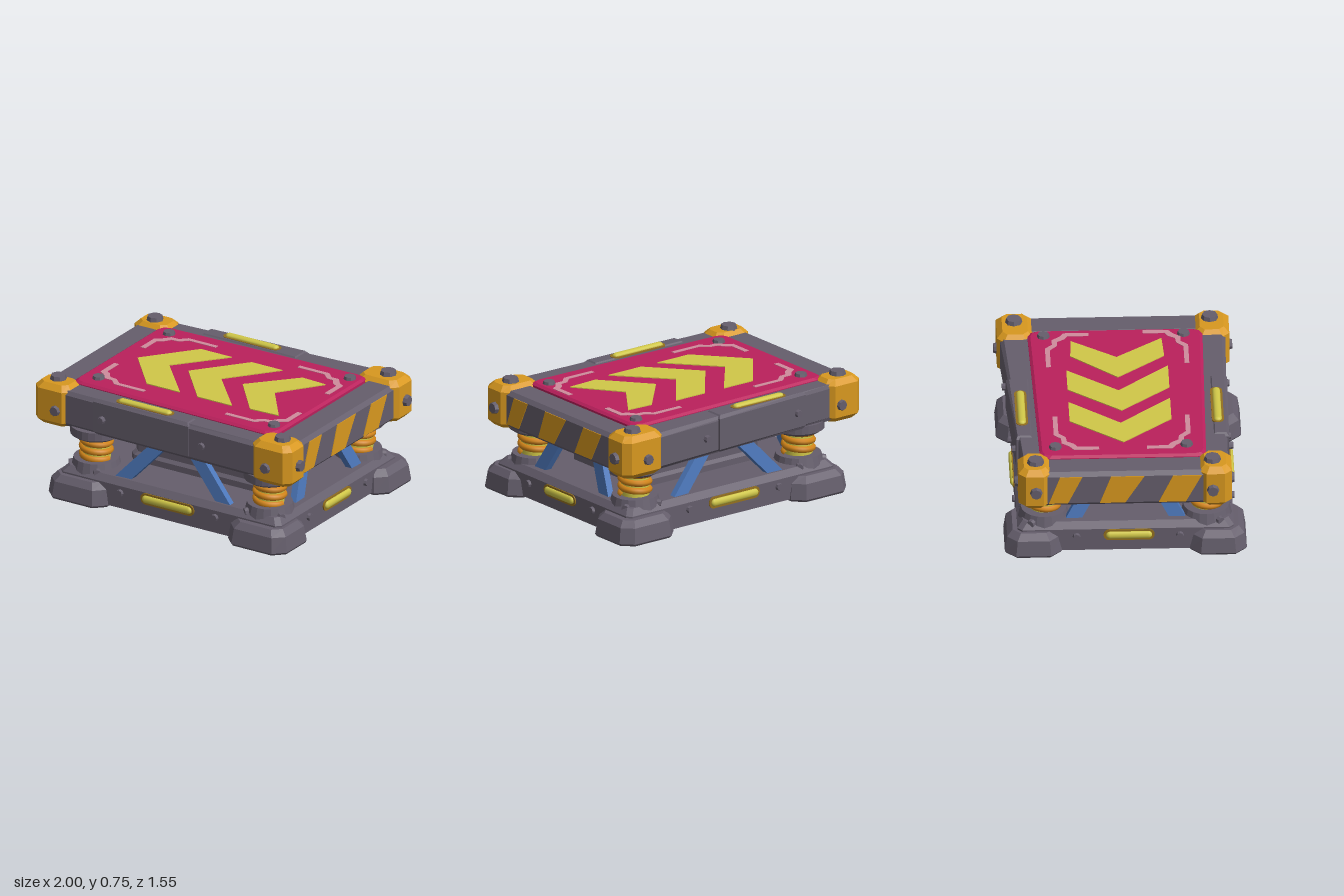
import * as THREE from 'three';

const colour = (name, hex) => {
  const m = new THREE.MeshStandardMaterial({ color: hex });
  m.name = name;
  return m;
};

export function createModel() {
  const grey = colour('gunmetal grey', 0x655e6c);
  const amber = colour('amber paint', 0xd8981f);
  const red = colour('crimson panel', 0xba205c);
  const yellow = colour('lamp yellow', 0xd0c748);
  const blue = colour('brace blue', 0x4c77ba);
  const pink = colour('worn pink', 0xcf8c9c);
  const orange = colour('spring orange', 0xd2851a);
  const bronze = colour('lamp rim bronze', 0x94701f);

  const model = new THREE.Group();
  model.name = 'springPlatform';

  const add = (name, geo, mat, parent = model) => {
    const mesh = new THREE.Mesh(geo, mat);
    mesh.name = name;
    parent.add(mesh);
    return mesh;
  };
  const faceted = (geo) => {
    const g = geo.index ? geo.toNonIndexed() : geo;
    g.computeVertexNormals();
    return g;
  };

  // Rectangle in x/z with cut corners, counter-clockwise seen from above
  const cutRect = (x0, x1, z0, z1, c) => [
    [x1 - c, z1], [x1, z1 - c], [x1, z0 + c], [x1 - c, z0],
    [x0 + c, z0], [x0, z0 + c], [x0, z1 - c], [x0 + c, z1]];

  // Solid with a convex x/z outline, stacked as [height, inset] levels
  function loft(outline, levels) {
    const xs = outline.map(p => p[0]), zs = outline.map(p => p[1]);
    const x0 = Math.min(...xs), x1 = Math.max(...xs), z0 = Math.min(...zs), z1 = Math.max(...zs);
    const cx = (x0 + x1) / 2, cz = (z0 + z1) / 2, n = outline.length;
    const pos = [], idx = [];
    for (const [y, inset] of levels) {
      const sx = 1 - 2 * inset / (x1 - x0), sz = 1 - 2 * inset / (z1 - z0);
      for (const [x, z] of outline) pos.push(cx + (x - cx) * sx, y, cz + (z - cz) * sz);
    }
    for (let l = 0; l < levels.length - 1; l++) {
      for (let i = 0; i < n; i++) {
        const a = l * n + i, b = l * n + (i + 1) % n;
        idx.push(a, b, b + n, a, b + n, a + n);
      }
    }
    const top = (levels.length - 1) * n;
    for (let i = 1; i < n - 1; i++) idx.push(top, top + i, top + i + 1, 0, i + 1, i);
    const g = new THREE.BufferGeometry();
    g.setAttribute('position', new THREE.Float32BufferAttribute(pos, 3));
    g.setIndex(idx);
    return faceted(g);
  }
  const bevelled = (y0, y1, b) => [[y0, b], [y0 + b, 0], [y1 - b, 0], [y1, b]];

  // Thin flat plate lying on a surface, outline in x/z
  const decal = (pts, y, t = 0.007) => {
    const s = new THREE.Shape(pts.map(([x, z]) => new THREE.Vector2(x, -z)));
    return new THREE.ExtrudeGeometry(s, { depth: t, bevelEnabled: false }).rotateX(-Math.PI / 2).translate(0, y, 0);
  };

  // Bolt head standing on a surface, pointing along dir
  const up = new THREE.Vector3(0, 1, 0);
  function bolt(name, p, dir, r, h) {
    const g = faceted(new THREE.CylinderGeometry(r * 0.85, r, h, 8).translate(0, h / 2, 0));
    const m = add(name, g, grey);
    m.position.set(...p);
    m.quaternion.setFromUnitVectors(up, new THREE.Vector3(...dir).normalize());
  }

  // Glowing slot: rounded rim and lamp rod, long side along local x, facing +z
  function lamp(name, p, length, rotX, rotY) {
    const g = new THREE.Group();
    g.name = name;
    const r = 0.038, h = length / 2 - r;
    const s = new THREE.Shape();
    s.absarc(h, 0, r, -Math.PI / 2, Math.PI / 2);
    s.absarc(-h, 0, r, Math.PI / 2, Math.PI * 1.5);
    add('lampRim', new THREE.ExtrudeGeometry(s, { depth: 0.008, bevelEnabled: false, curveSegments: 8 }), bronze, g);
    add('lampRod', new THREE.CapsuleGeometry(0.025, length - 0.08, 4, 12).rotateZ(Math.PI / 2).scale(1, 1, 0.7), yellow, g)
      .position.z = 0.008;
    g.position.set(...p);
    g.rotation.set(rotX, rotY, 0);
    model.add(g);
  }

  // Base and inner core
  add('base', loft(cutRect(-0.76, 0.89, -0.68, 0.68, 0.03), [[0.02, 0], [0.17, 0], [0.21, 0.035]]), grey);
  add('core', loft(cutRect(-0.42, 0.52, -0.35, 0.35, 0.04), [[0.18, 0], [0.47, 0]]), grey);
  add('coreRim', loft(cutRect(-0.44, 0.54, -0.37, 0.37, 0.04), bevelled(0.39, 0.48, 0.015)), grey);
  add('coreFoot', loft(cutRect(-0.44, 0.54, -0.37, 0.37, 0.04), [[0.19, 0], [0.25, 0], [0.27, 0.02]]), grey);

  // Feet with spring units
  const feet = [[-0.83, -0.39, -0.76, -0.4, -0.59], [-0.83, -0.39, 0.4, 0.76, -0.59],
    [0.55, 0.98, -0.77, -0.38, 0.71], [0.52, 0.96, 0.4, 0.77, 0.71]];
  for (const [x0, x1, z0, z1, sx] of feet) {
    const sz = 0.51 * Math.sign(z0), ox = Math.sign(sx), oz = Math.sign(z0);
    add('foot', loft(cutRect(x0, x1, z0, z1, 0.07), [[0.005, 0.01], [0.02, 0], [0.12, 0.015], [0.16, 0.05]]), grey);
    const unit = new THREE.Group();
    unit.name = 'springUnit';
    unit.position.set(sx, 0, sz);
    model.add(unit);
    add('springSeat', faceted(new THREE.CylinderGeometry(0.145, 0.17, 0.1, 20).translate(0, 0.2, 0)), grey, unit);
    add('springCore', new THREE.CylinderGeometry(0.092, 0.092, 0.2, 24).translate(0, 0.33, 0), yellow, unit);
    const helix = [];
    for (let i = 0; i <= 48; i++) {
      const a = i / 48 * Math.PI * 6;
      helix.push(new THREE.Vector3(Math.cos(a) * 0.089, 0.25 + i / 48 * 0.155, Math.sin(a) * 0.089));
    }
    add('springCoil', new THREE.TubeGeometry(new THREE.CatmullRomCurve3(helix), 110, 0.022, 8), orange, unit);
    const cup = [[0, 0.395], [0.135, 0.395], [0.165, 0.415], [0.165, 0.47], [0, 0.47]];
    add('springCup', faceted(new THREE.LatheGeometry(cup.map(p => new THREE.Vector2(...p)), 24)), grey, unit);
    for (const [dx, dz] of [[ox, oz * 0.6], [-ox * 0.7, oz]]) {
      const l = Math.hypot(dx, dz);
      bolt('seatBolt', [sx + dx / l * 0.15, 0.2, sz + dz / l * 0.15], [dx, 0, dz], 0.028, 0.025);
    }
  }

  // Diagonal braces on all four sides
  function brace(a, b, w, d) {
    const va = new THREE.Vector3(...a), vb = new THREE.Vector3(...b);
    const m = add('brace', new THREE.BoxGeometry(w, va.distanceTo(vb), d), blue);
    m.position.copy(va).add(vb).multiplyScalar(0.5);
    m.quaternion.setFromUnitVectors(up, vb.sub(va).normalize());
  }
  for (const s of [1, -1]) {
    brace([-0.345, 0.17, s * 0.615], [-0.04, 0.5, s * 0.56], 0.085, 0.045);
    brace([0.47, 0.17, s * 0.615], [0.165, 0.5, s * 0.56], 0.085, 0.045);
    for (const x of [[0.8, 0.74], [-0.67, -0.61]]) {
      brace([x[0], 0.17, s * 0.345], [x[1], 0.5, s * 0.16], 0.045, 0.09);
    }
  }

  // Base lamps and bolts
  for (const s of [1, -1]) {
    const turn = s > 0 ? 0 : Math.PI;
    lamp('baseLamp', [0.055, 0.13, s * 0.68], 0.4, 0, turn);
    for (const x of [-0.3, 0.41]) bolt('baseBolt', [x, 0.125, s * 0.68], [0, 0, s], 0.025, 0.018);
    const sideX = s > 0 ? 0.89 : -0.76;
    lamp('baseSideLamp', [sideX, 0.13, 0.02], 0.32, 0, s * Math.PI / 2);
    for (const z of [0.34, -0.31]) bolt('baseBolt', [sideX, 0.12, z], [s, 0, 0], 0.025, 0.018);
  }

  // Upper frame: slightly skewed beams around a slab
  add('deckSlab', loft(cutRect(-0.8, 0.8, -0.52, 0.5, 0.02), [[0.47, 0], [0.68, 0]]), grey);
  const beam = bevelled(0.46, 0.7, 0.025);
  add('frontBeam', loft([[0.75, 0.675], [0.75, 0.45], [-0.78, 0.45], [-0.78, 0.64]], beam), grey);
  add('backBeam', loft([[0.75, -0.46], [0.75, -0.745], [-0.78, -0.65], [-0.78, -0.46]], beam), grey);
  add('leftBeam', loft(cutRect(0.74, 0.945, -0.62, 0.57, 0.01), beam), grey);
  add('rightBeam', loft(cutRect(-0.955, -0.75, -0.58, 0.55, 0.01), beam), grey);
  add('frontBeamPlate', loft([[0.2, 0.667], [0.2, 0.55], [-0.52, 0.55], [-0.52, 0.657]], bevelled(0.465, 0.708, 0.02)), grey);
  add('backBeamPlate', loft([[0.2, -0.57], [0.2, -0.722], [-0.52, -0.68], [-0.52, -0.57]], bevelled(0.465, 0.708, 0.02)), grey);
  lamp('frontTopLamp', [-0.17, 0.703, 0.592], 0.42, -Math.PI / 2, 0);
  lamp('backTopLamp', [-0.17, 0.703, -0.638], 0.42, -Math.PI / 2, 0);
  for (const x of [-0.45, 0.3]) {
    bolt('beamBolt', [x, 0.58, 0.657], [0, 0, 1], 0.026, 0.028);
    bolt('beamBolt', [x, 0.58, x < 0 ? -0.68 : -0.715], [0, 0, -1], 0.026, 0.028);
  }

  // Corner blocks with bolts on three faces: x0, x1, z0, z1, top bolt x and z
  const corners = [[-0.975, -0.71, -0.68, -0.475, -0.855, -0.57], [-0.975, -0.71, 0.455, 0.66, -0.855, 0.54],
    [0.655, 0.972, -0.76, -0.53, 0.84, -0.65], [0.675, 0.972, 0.48, 0.7, 0.85, 0.58]];
  for (const [x0, x1, z0, z1, bx, bz] of corners) {
    const sx = Math.sign(x0), sz = Math.sign(z0);
    add('cornerBlock', loft(cutRect(x0, x1, z0, z1, 0.045), bevelled(0.445, 0.725, 0.035)), amber);
    bolt('cornerTopBolt', [bx, 0.72, bz], [0, 1, 0], 0.056, 0.032);
    bolt('cornerEndBolt', [sx > 0 ? x1 : x0, 0.575, bz], [sx, 0, 0], 0.04, 0.025);
    bolt('cornerFaceBolt', [sx * 0.8, 0.56, sz > 0 ? z1 : z0], [0, 0, sz], 0.036, 0.02);
  }

  // Hazard stripes on both end beams: bottom start/end, top start/end along z
  const stripes = [[0.49, 0.37, 0.42, 0.28], [0.17, 0.01, 0.1, -0.11], [-0.2, -0.37, -0.29, -0.47]];
  for (const s of [1, -1]) {
    const side = new THREE.Group();
    side.name = 'hazardStripes';
    for (const [a, b, c, d] of stripes) {
      const shape = new THREE.Shape([[-a, 0.485], [-b, 0.485], [-d, 0.675], [-c, 0.675]].map(p => new THREE.Vector2(...p)));
      add('stripe', new THREE.ExtrudeGeometry(shape, { depth: 0.006, bevelEnabled: false }), amber, side);
    }
    side.position.x = s > 0 ? 0.944 : -0.954;
    side.rotation.y = s * Math.PI / 2;
    model.add(side);
  }

  // Bounce panel with chevrons, worn corner marks and bolts
  const panel = [[0.69, 0.53], [0.735, 0.515], [0.75, 0.47], [0.75, -0.51], [0.735, -0.555], [0.69, -0.57],
    [-0.72, -0.54], [-0.765, -0.525], [-0.78, -0.48], [-0.78, 0.45], [-0.765, 0.49], [-0.72, 0.505]];
  add('panel', loft(panel, [[0.66, 0], [0.705, 0], [0.718, 0.018]]), red);
  const chevrons = [
    [[-0.62, -0.01], [-0.36, -0.34], [-0.13, -0.34], [-0.39, -0.02], [-0.1, 0.3], [-0.35, 0.3]],
    [[-0.24, -0.01], [0.02, -0.34], [0.25, -0.34], [0, -0.02], [0.29, 0.3], [0.03, 0.3]],
    [[0.16, -0.02], [0.42, -0.31], [0.6, -0.3], [0.4, -0.02], [0.62, 0.27], [0.41, 0.28]]];
  for (const c of chevrons) add('chevron', decal(c, 0.717), yellow);
  // Mark drawn for the +x +z corner, mirrored to the others
  const mark = [[0.3, 0.43], [0.52, 0.43], [0.565, 0.385], [0.62, 0.385], [0.66, 0.335], [0.7, 0.31], [0.7, 0.15],
    [0.665, 0.15], [0.665, 0.285], [0.63, 0.305], [0.6, 0.35], [0.55, 0.355], [0.5, 0.4], [0.3, 0.4]];
  for (const [sx, sz, dx, dz] of [[1, 1, 0.02, 0.005], [1, -1, 0, -0.035], [-1, 1, 0, -0.015], [-1, -1, 0, -0.015]]) {
    add('cornerMark', decal(mark.map(([x, z]) => [x * sx + dx, z * sz + dz]), 0.717, 0.004), pink);
  }
  for (const [x, z] of [[-0.665, -0.44], [0.67, -0.47], [-0.655, 0.385], [0.675, 0.41]]) {
    bolt('panelBolt', [x, 0.715, z], [0, 1, 0], 0.042, 0.022);
  }
  return model;
}
